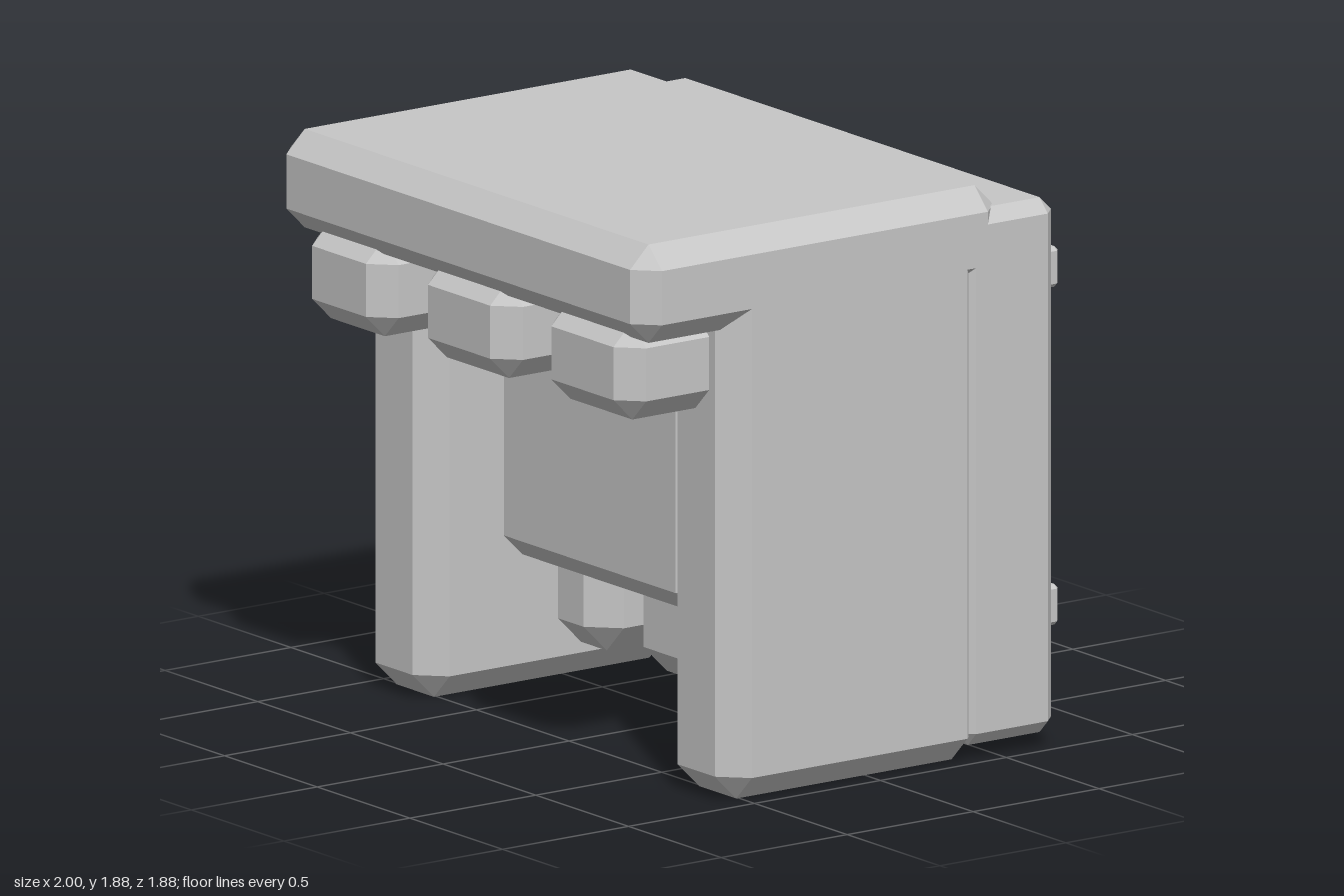
import * as THREE from 'three';
import { ConvexGeometry } from 'three/addons/geometries/ConvexGeometry.js';

const material = new THREE.MeshStandardMaterial({ color: 0xc6c6c6 });
material.name = 'plain grey';

// Box between two corners with every edge and corner cut by c
function chamferBox(name, [x0, x1], [y0, y1], [z0, z1], c) {
  const h = [(x1 - x0) / 2, (y1 - y0) / 2, (z1 - z0) / 2];
  const points = [];
  for (const sx of [-1, 1]) for (const sy of [-1, 1]) for (const sz of [-1, 1]) {
    for (let axis = 0; axis < 3; axis++) {
      const d = h.map((v, i) => (i === axis ? v : v - c));
      points.push(new THREE.Vector3(sx * d[0], sy * d[1], sz * d[2]));
    }
  }
  const mesh = new THREE.Mesh(new ConvexGeometry(points), material);
  mesh.name = name;
  mesh.position.set((x0 + x1) / 2, (y0 + y1) / 2, (z0 + z1) / 2);
  return mesh;
}

export function createModel() {
  const model = new THREE.Group();
  model.name = 'blockyBuilding';
  const add = (...args) => model.add(chamferBox(...args));

  // Main shell: roof slab, back panel and two side walls
  add('roofSlab', [-1, 1], [1.56, 1.885], [-0.5, 0.94], 0.073);
  add('backPanel', [-1, 1], [0.05, 1.815], [-0.71, -0.335], 0.045);
  add('rightWall', [-1, -0.63], [0, 1.72], [-0.43, 0.595], 0.085);
  add('leftWall', [0.63, 1], [0, 1.72], [-0.43, 0.595], 0.085);

  // Three inner pillars in front of the back panel
  for (const [x0, x1] of [[-0.92, -0.4], [-0.26, 0.26], [0.4, 0.92]]) {
    add('innerPillar', [x0, x1], [0.12, 1.56], [-0.45, 0.08], 0.092);
  }

  // Large central block
  add('centreBlock', [-0.56, 0.51], [0.49, 1.28], [-0.1, 0.4], 0.073);

  // Beam ends under the roof
  for (const [x0, x1] of [[-0.89, -0.45], [-0.265, 0.22], [0.4, 0.885]]) {
    add('roofBeam', [x0, x1], [1.28, 1.605], [-0.4, 0.92], 0.075);
  }

  // Four pegs on the back
  for (const x of [-0.63, 0.625]) for (const y of [0.375, 1.49]) {
    add('backPeg', [x - 0.067, x + 0.067], [y - 0.067, y + 0.067], [-0.94, -0.65], 0.013);
  }
  return model;
}
